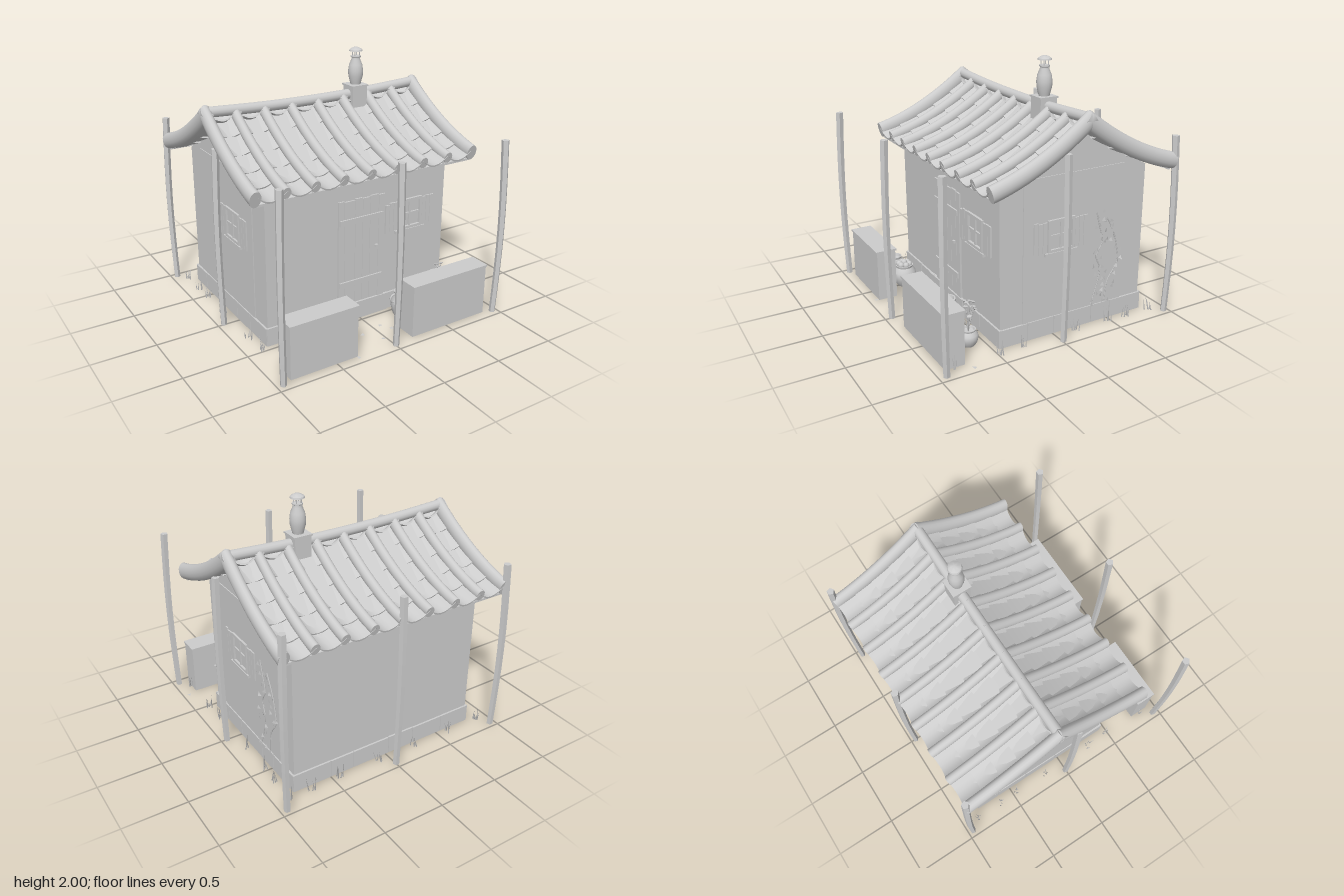
import * as THREE from 'three';
import { toCreasedNormals, mergeGeometries } from 'three/addons/utils/BufferGeometryUtils.js';
import { ParametricGeometry } from 'three/addons/geometries/ParametricGeometry.js';

const RIDGE_Z = -0.18;

export function createModel() {
  const root = new THREE.Group();
  const clay = new THREE.MeshStandardMaterial({ color: 0xcccccc, side: THREE.DoubleSide });
  clay.name = 'plainGrey';

  let seed = 7;
  const rnd = (a = 0, b = 1) => {
    seed = (seed * 16807) % 2147483647;
    return a + (b - a) * seed / 2147483647;
  };
  const add = (name, geo, x = 0, y = 0, z = 0, parent = root) => {
    const m = new THREE.Mesh(geo, clay);
    m.name = name;
    m.position.set(x, y, z);
    parent.add(m);
    return m;
  };
  // Box given by its limits
  const box = (name, x0, x1, y0, y1, z0, z1, parent = root) =>
    add(name, new THREE.BoxGeometry(x1 - x0, y1 - y0, z1 - z0), (x0 + x1) / 2, (y0 + y1) / 2, (z0 + z1) / 2, parent);
  const lathe = (pts, n = 20) =>
    toCreasedNormals(new THREE.LatheGeometry(pts.map(p => new THREE.Vector2(...p)), n), 0.7);

  // House body with gables
  const gable = new THREE.Shape([[0.445, 0.1], [0.45, 1.2], [RIDGE_Z, 1.55], [-0.81, 1.2], [-0.805, 0.1]]
    .map(p => new THREE.Vector2(...p)));
  const body = new THREE.ExtrudeGeometry(gable, { depth: 1.61, bevelEnabled: false });
  body.rotateY(-Math.PI / 2).translate(0.805, 0, 0);
  add('walls', body);
  for (const s of [-1, 1]) box('gablePanel', s * 0.808 - 0.004, s * 0.808 + 0.004, 0.14, 1.24, -0.62, 0.26);

  // Stone plinth: a core with separate facing stones
  box('plinthCore', -0.81, 0.81, 0, 0.14, -0.812, 0.452);
  const stones = (from, to, n, place) => {
    let a = from;
    for (let i = 0; i < n; i++) {
      const b = i === n - 1 ? to : from + (to - from) * (i + 1 + rnd(-0.2, 0.2)) / n;
      place(a + 0.003, b - 0.003, 0.147 - rnd(0, 0.008));
      a = b;
    }
  };
  for (const s of [-1, 1]) {
    stones(-0.82, 0.46, 5, (a, b, h) => box('plinthStone', s * 0.81 - 0.01, s * 0.81 + 0.01, 0, h, a, b));
    const z = s > 0 ? 0.45 : -0.81;
    stones(-0.82, 0.82, 6, (a, b, h) => box('plinthStone', a, b, 0, h, z - 0.01, z + 0.01));
  }

  // Plank door
  const seams = [-0.2, -0.145, -0.05, 0.018, 0.085, 0.165, 0.225];
  for (let i = 0; i < 6; i++)
    box('doorPlank', seams[i] + 0.002, seams[i + 1] - 0.002, i === 5 ? 0.13 : 0.15, 1.01 - (i % 2) * 0.008, 0.44, 0.462);
  for (const y of [0.325, 0.84]) box('doorBar', -0.19, 0.2, y - 0.022, y + 0.022, 0.46, 0.474);
  box('doorHandle', 0.13, 0.155, 0.58, 0.6, 0.46, 0.48);
  box('doorstep', -0.33, 0.26, 0, 0.145, 0.45, 0.47);

  // Windows with sill, cross bars and plank shutters
  const addWindow = (x, z, turn) => {
    const g = new THREE.Group();
    g.name = 'window';
    for (const s of [-1, 1]) {
      box('frameSide', s * 0.104 - 0.011, s * 0.104 + 0.011, 0.66, 0.91, 0, 0.02, g);
      for (let i = 0; i < 3; i++) {
        const c = s * (0.138 + i * 0.038), d = rnd(-0.008, 0.008);
        box('shutterPlank', c - 0.017, c + 0.017, 0.665 + d, 0.9 + d, 0, 0.014, g);
      }
    }
    for (const y of [0.672, 0.9]) box('frameRail', -0.1, 0.1, y - 0.011, y + 0.011, 0, 0.02, g);
    box('mullion', -0.008, 0.008, 0.67, 0.9, 0, 0.013, g);
    box('crossBar', -0.095, 0.095, 0.778, 0.794, 0, 0.013, g);
    box('sill', -0.14, 0.14, 0.638, 0.662, 0, 0.026, g);
    g.position.set(x, 0, z);
    g.rotation.y = turn;
    root.add(g);
  };
  addWindow(0.465, 0.448, 0);
  addWindow(0.808, -0.055, Math.PI / 2);
  addWindow(-0.808, -0.055, -Math.PI / 2);

  // Roof: sections swept down a sagging slope; t runs from ridge to eave
  const sweep = (section, t0, t1, side, around, along) => {
    const geo = new ParametricGeometry((u, v, out) => {
      const k = THREE.MathUtils.clamp((v * (along + 2) - 1) / along, 0, 1);
      const open = v < 1e-6 || v > 1 - 1e-6 ? 0 : 1;
      const t = t0 + (t1 - t0) * k, slope = -0.766 + 0.66 * t, len = Math.hypot(1, slope);
      const [x, d] = section(side * u * Math.PI * 2, open, k);
      const sag = 0.03 * (x * x - 0.87) * (1 - t / 0.8);
      const y = 1.635 - 0.766 * t + 0.33 * t * t + sag;
      out.set(x, y + d / len, RIDGE_Z + side * (t - d * slope / len));
    }, around, along + 2);
    return toCreasedNormals(geo, 0.6);
  };
  const STEP = 0.2335;
  for (const side of [-1, 1]) {
    for (let i = -4; i <= 4; i++) {
      const edge = Math.abs(i) === 4, rx = edge ? 0.045 : 0.037, ry = edge ? 0.064 : 0.045;
      add(edge ? 'edgeTile' : 'coverTile', sweep((a, s, k) =>
        [i * STEP * (1 + 0.012 * k) + rx * Math.cos(a), s * ry * Math.sin(a)], -0.03, 0.78, side, 16, 12));
      if (!edge) box('rafterEnd', i * STEP - 0.02, i * STEP + 0.02, 1.175, 1.215,
        RIDGE_Z + side * 0.72 - 0.03, RIDGE_Z + side * 0.72 + 0.03);
    }
    // Overlapping trough tiles
    for (let c = 0; c < 8; c++) {
      const parts = [];
      for (let r = 0; r < 5; r++)
        parts.push(sweep((a, s, k) => {
          const w = Math.cos(a);
          return [(c - 3.5) * STEP + 0.115 * w, -0.062 + 0.065 * w * w + 0.014 * k + s * 0.007 * Math.sin(a)];
        }, r * 0.156 - 0.01, (r + 1) * 0.156 + 0.003, side, 20, 2));
      add('troughTiles', mergeGeometries(parts));
    }
    // Thin deck under the tiles
    const deck = new ParametricGeometry((u, v, out) => {
      const t = 0.75 * v;
      out.set((u - 0.5) * 1.88, 1.56 - 0.7 * t + 0.24 * t * t, RIDGE_Z + side * t);
    }, 1, 10);
    add('roofDeck', deck);
    add('roofDeckTop', deck.clone(), 0, 0.014, 0);
    box('eaveBoard', -0.94, 0.94, 1.17, 1.187, RIDGE_Z + side * 0.745 - 0.008, RIDGE_Z + side * 0.745 + 0.008);
  }
  const ridge = new THREE.CatmullRomCurve3([-0.93, -0.47, 0, 0.47, 0.93]
    .map(x => new THREE.Vector3(x, 1.625 + 0.033 * x * x, RIDGE_Z)));
  add('ridgeTile', new THREE.TubeGeometry(ridge, 24, 0.04, 14));

  // Chimney with pot and cap
  box('chimneyBase', 0.3, 0.435, 1.5, 1.69, -0.25, -0.11);
  box('chimneySlab', 0.293, 0.443, 1.69, 1.703, -0.257, -0.103);
  add('chimneyPot', lathe([[0, 1.7], [0.04, 1.7], [0.045, 1.72], [0.058, 1.77], [0.06, 1.81], [0.053, 1.86],
    [0.036, 1.9], [0.034, 1.915], [0.04, 1.92], [0.04, 1.93], [0, 1.93]]), 0.37, 0, RIDGE_Z);
  for (let i = 0; i < 4; i++) {
    const a = Math.PI * (i / 2 + 0.25);
    add('capSupport', new THREE.CylinderGeometry(0.004, 0.004, 0.05, 6),
      0.37 + 0.028 * Math.cos(a), 1.95, RIDGE_Z + 0.028 * Math.sin(a));
  }
  add('chimneyCap', lathe([[0, 1.965], [0.054, 1.968], [0.05, 1.98], [0.025, 1.995], [0, 2]]), 0.37, 0, RIDGE_Z);

  // Slightly bowed posts around the yard
  for (const x of [-0.96, 0, 0.96]) for (const z of [-0.965, -0.005, 0.953]) {
    if (x === 0 && z === -0.005) continue;
    const geo = new THREE.CylinderGeometry(0.03, 0.025, 1.43, 5, 8).toNonIndexed();
    const p = geo.attributes.position;
    for (let i = 0; i < p.count; i++) {
      const bow = 0.014 * Math.cos(p.getY(i) / 1.43 * Math.PI) - 0.008;
      p.setX(i, p.getX(i) + Math.sign(x) * bow);
      p.setZ(i, p.getZ(i) + (Math.abs(z) > 0.1 ? Math.sign(z) * bow : 0));
    }
    geo.computeVertexNormals();
    add('post', geo, x, 0.715, z);
  }

  // Low front walls with coping
  for (const [a, b] of [[-0.88, -0.325], [0.172, 0.875]]) {
    box('lowWall', a, b, 0, 0.405, 0.765, 0.92);
    box('coping', a - 0.006, b + 0.006, 0.405, 0.42, 0.757, 0.928);
  }

  // Pots behind the low walls
  const pot = (x, z, r, h) => add('pot', lathe([[0, 0], [0.6, 0], [0.85, 0.2], [1, 0.5], [0.95, 0.7], [0.7, 0.9],
    [0.75, 1], [0.62, 1], [0.55, 0.88], [0, 0.85]].map(([a, b]) => [a * r, b * h])), x, 0, z);
  pot(-0.7, 0.62, 0.078, 0.18);
  pot(-0.5, 0.62, 0.098, 0.18);
  pot(0.3, 0.62, 0.095, 0.22);
  pot(0.65, 0.62, 0.075, 0.13);
  for (let i = 0; i < 7; i++) {
    const a = i * Math.PI / 3, r = i === 6 ? 0 : 0.042;
    add('fruit', new THREE.SphereGeometry(0.026, 10, 8), -0.5 + r * Math.cos(a), i === 6 ? 0.2 : 0.185, 0.62 + r * Math.sin(a));
  }
  for (const s of [-1, 1])
    add('potHandle', new THREE.TorusGeometry(0.032, 0.008, 8, 14), 0.3 + s * 0.085, 0.18, 0.62);

  // Flowering plant: stems with small blossoms
  for (let i = 0; i < 9; i++) {
    const a = i * 2.4, r = 0.025 + 0.006 * i, h = 0.36 - 0.012 * i;
    const tip = new THREE.Vector3(0.65 + r * Math.cos(a), h, 0.62 + r * Math.sin(a));
    const bend = new THREE.Vector3(0.65 + r * 0.3 * Math.cos(a), h * 0.7, 0.62 + r * 0.3 * Math.sin(a));
    const stem = new THREE.QuadraticBezierCurve3(new THREE.Vector3(0.65, 0.1, 0.62), bend, tip);
    add('flowerStem', new THREE.TubeGeometry(stem, 6, 0.003, 5), 0, 0, 0);
    add('blossom', new THREE.ConeGeometry(0.02, 0.012, 5), tip.x, tip.y, tip.z).rotation.set(3 + rnd(-0.4, 0.4), a, 0);
  }

  // Climbing vine on the left gable: [z, y] points
  const vines = [
    [[-0.345, 0.15], [-0.4, 0.33], [-0.415, 0.44], [-0.38, 0.54], [-0.43, 0.65], [-0.4, 0.78], [-0.37, 0.89]],
    [[-0.47, 0.15], [-0.49, 0.31], [-0.58, 0.46], [-0.57, 0.57], [-0.535, 0.7], [-0.47, 0.83]]];
  const leafShape = new THREE.Shape([[0, 0.02], [-0.016, -0.012], [0.016, -0.014]].map(p => new THREE.Vector2(...p)));
  const leaf = new THREE.ShapeGeometry(leafShape);
  for (const pts of vines) {
    const path = new THREE.CatmullRomCurve3(pts.map(([z, y]) => new THREE.Vector3(0.815, y, z)));
    add('vineStem', new THREE.TubeGeometry(path, 30, 0.005, 5));
    for (let i = 0; i < 25; i++) {
      const p = path.getPoint(i / 24);
      add('vineLeaf', leaf, 0.825 + rnd(0, 0.012), p.y + rnd(-0.02, 0.02), p.z + rnd(-0.06, 0.06))
        .rotation.set(rnd(-0.5, 0.5), Math.PI / 2 + rnd(-0.6, 0.6), 0);
    }
  }

  // Grass tufts
  const blade = new THREE.ConeGeometry(0.006, 1, 3).translate(0, 0.5, 0);
  const tuft = (x, z) => {
    for (let i = 0; i < 6; i++) {
      const b = add('grassBlade', blade, x + rnd(-0.025, 0.025), 0, z + rnd(-0.025, 0.025));
      b.scale.y = rnd(0.05, 0.12);
      b.rotation.set(rnd(-0.25, 0.25), 0, rnd(-0.25, 0.25));
    }
  };
  for (const s of [-1, 1]) for (const z of [0.85, 0.48, 0.29, -0.17, -0.47, -0.63, -0.86]) tuft(s * 0.88, z);
  for (const x of [-0.6, -0.25, 0.1, 0.45, 0.7]) tuft(x, -0.86);

  // Fallen leaves in the yard
  for (const [x, z] of [[-0.29, 0.65], [-0.13, 0.7], [0.06, 0.66], [0.11, 0.74], [-0.03, 0.83], [-0.33, 0.94], [0.95, 0.73]])
    add('fallenLeaf', leaf, x, 0.006, z).rotation.set(-Math.PI / 2, 0, rnd(0, 6));

  return root;
}
